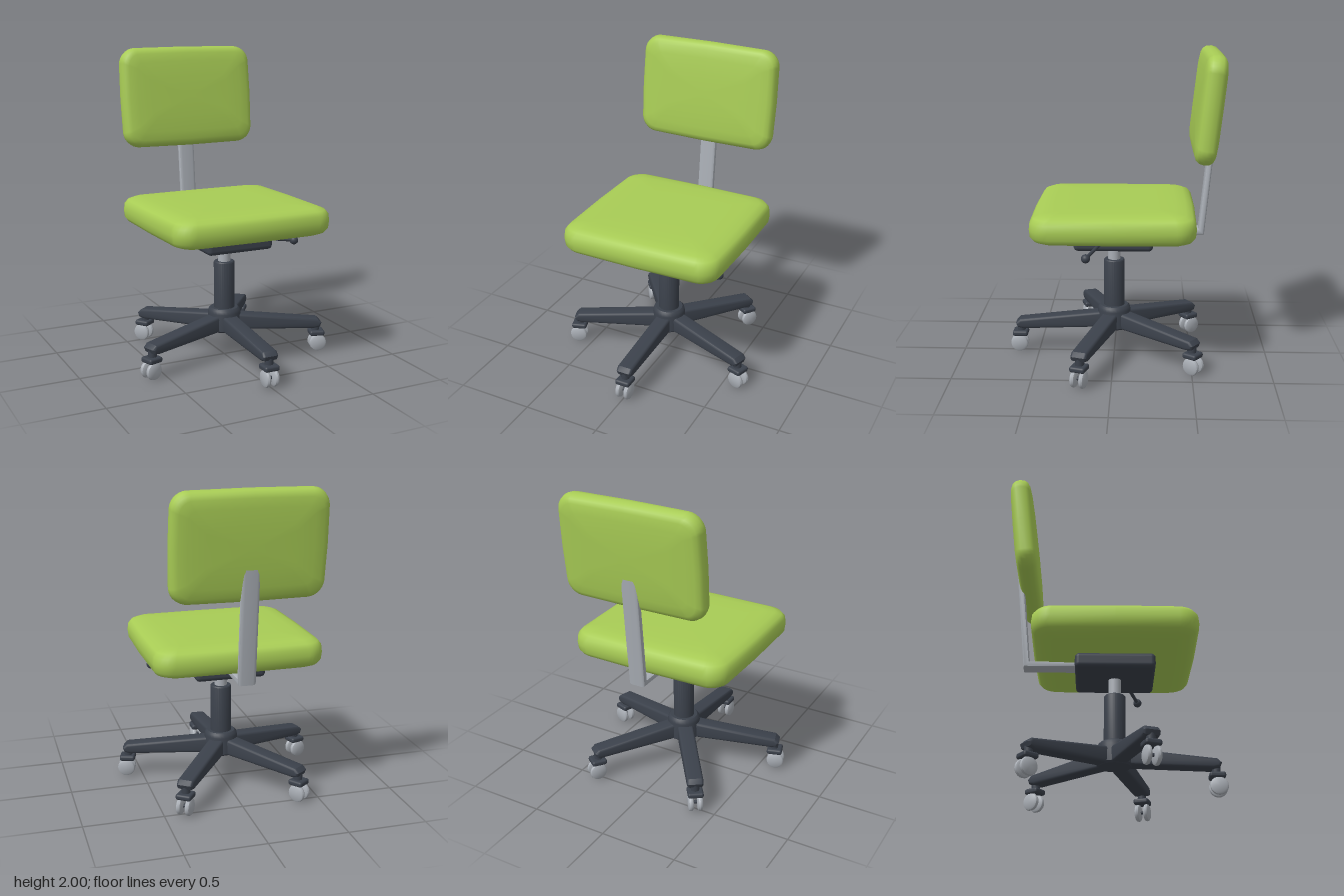
import * as THREE from 'three';
import { toCreasedNormals } from 'three/addons/utils/BufferGeometryUtils.js';
import { RoundedBoxGeometry } from 'three/addons/geometries/RoundedBoxGeometry.js';

const material = (name, color) => {
  const m = new THREE.MeshStandardMaterial({ color });
  m.name = name;
  return m;
};

// Pillow lying flat: rounded rectangle rings stacked along y, closed by shallow domes
function cushion(hw, hd, hh, radius, profile) {
  const rings = [
    ...profile.slice(1).reverse().map(([inset, h]) => [inset, -h]),
    ...profile,
  ];
  const positions = [], index = [], steps = 7, n = 4 * (steps + 2);
  for (const [inset, h] of rings) {
    const w = hw - inset, d = hd - inset, r = Math.max(radius - inset * 0.6, 0.03);
    const add = (x, z) => positions.push(
      x * (1 - 0.02 * (z / d) ** 2), h * hh, z * (1 - 0.02 * (x / w) ** 2));
    for (let k = 0; k < 4; k++) {
      const sx = k === 0 || k === 3 ? 1 : -1, sz = k < 2 ? 1 : -1;
      for (let i = 0; i <= steps; i++) {
        const a = (k + i / steps) * Math.PI / 2;
        add(sx * (w - r) + r * Math.cos(a), sz * (d - r) + r * Math.sin(a));
      }
      add([0, -w, 0, w][k], [d, 0, -d, 0][k]);
    }
  }
  for (let i = 0; i < rings.length - 1; i++) {
    for (let j = 0; j < n; j++) {
      const a = i * n + j, b = i * n + (j + 1) % n;
      index.push(a, a + n, b, b, a + n, b + n);
    }
  }
  const bottom = rings.length * n, top = bottom + 1, last = (rings.length - 1) * n;
  positions.push(0, -hh, 0, 0, hh, 0);
  for (let j = 0; j < n; j++) {
    const k = (j + 1) % n;
    index.push(bottom, j, k, top, last + k, last + j);
  }
  const g = new THREE.BufferGeometry();
  g.setAttribute('position', new THREE.Float32BufferAttribute(positions, 3));
  g.setIndex(index);
  g.computeVertexNormals();
  return g;
}

// Side profile given as [z, y] points, extruded across x with softened edges
function sideExtrusion(points, width, bevel, bevelDepth) {
  const shape = new THREE.Shape(points.map(([z, y]) => new THREE.Vector2(z, y)));
  const depth = width - 2 * bevelDepth;
  const g = new THREE.ExtrudeGeometry(shape, {
    depth, bevelEnabled: true, bevelSize: bevel, bevelOffset: -bevel,
    bevelThickness: bevelDepth, bevelSegments: 3,
  });
  g.translate(0, 0, -depth / 2).rotateY(-Math.PI / 2);
  return toCreasedNormals(g, 0.6);
}

const lathe = (points, segments = 28) => toCreasedNormals(
  new THREE.LatheGeometry(points.map(([x, y]) => new THREE.Vector2(x, y)), segments), 0.65);

export function createModel() {
  const green = material('green fabric', 0xa8cc55);
  const dark = material('dark plastic', 0x3b414b);
  const metal = material('light grey metal', 0xa9aeb5);

  const model = new THREE.Group();
  model.name = 'officeChair';
  const add = (parent, name, geometry, mat, x = 0, y = 0, z = 0) => {
    const mesh = new THREE.Mesh(geometry, mat);
    mesh.name = name;
    mesh.position.set(x, y, z);
    parent.add(mesh);
    return mesh;
  };

  // Upholstery
  add(model, 'seat', cushion(0.543, 0.515, 0.098, 0.12, [
    [0, 0], [0.005, 0.45], [0.025, 0.72], [0.065, 0.89], [0.13, 0.97], [0.25, 1],
  ]), green, 0, 0.948, -0.004);
  const back = add(model, 'backrest', cushion(0.475, 0.334, 0.078, 0.1, [
    [0, 0], [0.006, 0.4], [0.02, 0.65], [0.045, 0.8], [0.1, 0.9], [0.2, 0.97],
  ]), green, 0, 1.665, -0.585);
  back.rotation.x = Math.PI / 2 - 0.11;

  // Bent flat bar carrying the backrest
  add(model, 'backrestBar', sideExtrusion([
    [-0.15, 0.82], [-0.578, 0.82], [-0.657, 1.64], [-0.617, 1.64], [-0.541, 0.86], [-0.15, 0.86],
  ], 0.11, 0.012, 0.02), metal);

  // Tilt mechanism and its lever
  add(model, 'mechanism', new RoundedBoxGeometry(0.454, 0.097, 0.5, 4, 0.028), dark, 0, 0.798, 0);
  const from = new THREE.Vector3(0.18, 0.793, 0.08), to = new THREE.Vector3(0.43, 0.767, 0.16);
  add(model, 'lever', new THREE.TubeGeometry(new THREE.LineCurve3(from, to), 1, 0.011, 12), dark);
  add(model, 'leverKnob', new THREE.SphereGeometry(0.028, 20, 14), dark, to.x, to.y, to.z);

  // Gas lift
  add(model, 'piston', new THREE.CylinderGeometry(0.04, 0.04, 0.16, 28), metal, 0, 0.7, 0);
  add(model, 'column', lathe([
    [0, 0.3], [0.068, 0.3], [0.068, 0.635], [0.063, 0.642], [0, 0.642],
  ]), dark);
  add(model, 'hub', lathe([
    [0, 0.178], [0.1, 0.178], [0.112, 0.19], [0.107, 0.3], [0.102, 0.32], [0.09, 0.331], [0, 0.331],
  ]), dark);

  // Five legs, each with a twin wheel caster
  const legShape = sideExtrusion([
    [0.04, 0.183], [0.6, 0.163], [0.64, 0.172], [0.651, 0.2], [0.625, 0.226], [0.1, 0.285], [0.04, 0.29],
  ], 0.104, 0.016, 0.016);
  const stem = new THREE.CylinderGeometry(0.027, 0.027, 0.06, 18);
  const hood = new RoundedBoxGeometry(0.1, 0.036, 0.1, 3, 0.014);
  const wheel = lathe([
    [0, -0.019], [0.042, -0.017], [0.053, -0.011], [0.057, 0],
    [0.053, 0.011], [0.042, 0.017], [0, 0.019],
  ], 24).rotateZ(Math.PI / 2);
  const axle = new THREE.CylinderGeometry(0.012, 0.012, 0.06, 12).rotateZ(Math.PI / 2);
  for (let i = 0; i < 5; i++) {
    const leg = new THREE.Group();
    leg.name = 'leg';
    leg.rotation.y = i * Math.PI * 2 / 5;
    add(leg, 'legArm', legShape, dark);
    add(leg, 'casterStem', stem, dark, 0, 0.155, 0.618);
    add(leg, 'casterHood', hood, dark, 0, 0.125, 0.623);
    add(leg, 'casterAxle', axle, dark, 0, 0.058, 0.63);
    for (const side of [-1, 1]) add(leg, 'wheel', wheel, metal, side * 0.029, 0.057, 0.63);
    model.add(leg);
  }
  return model;
}
